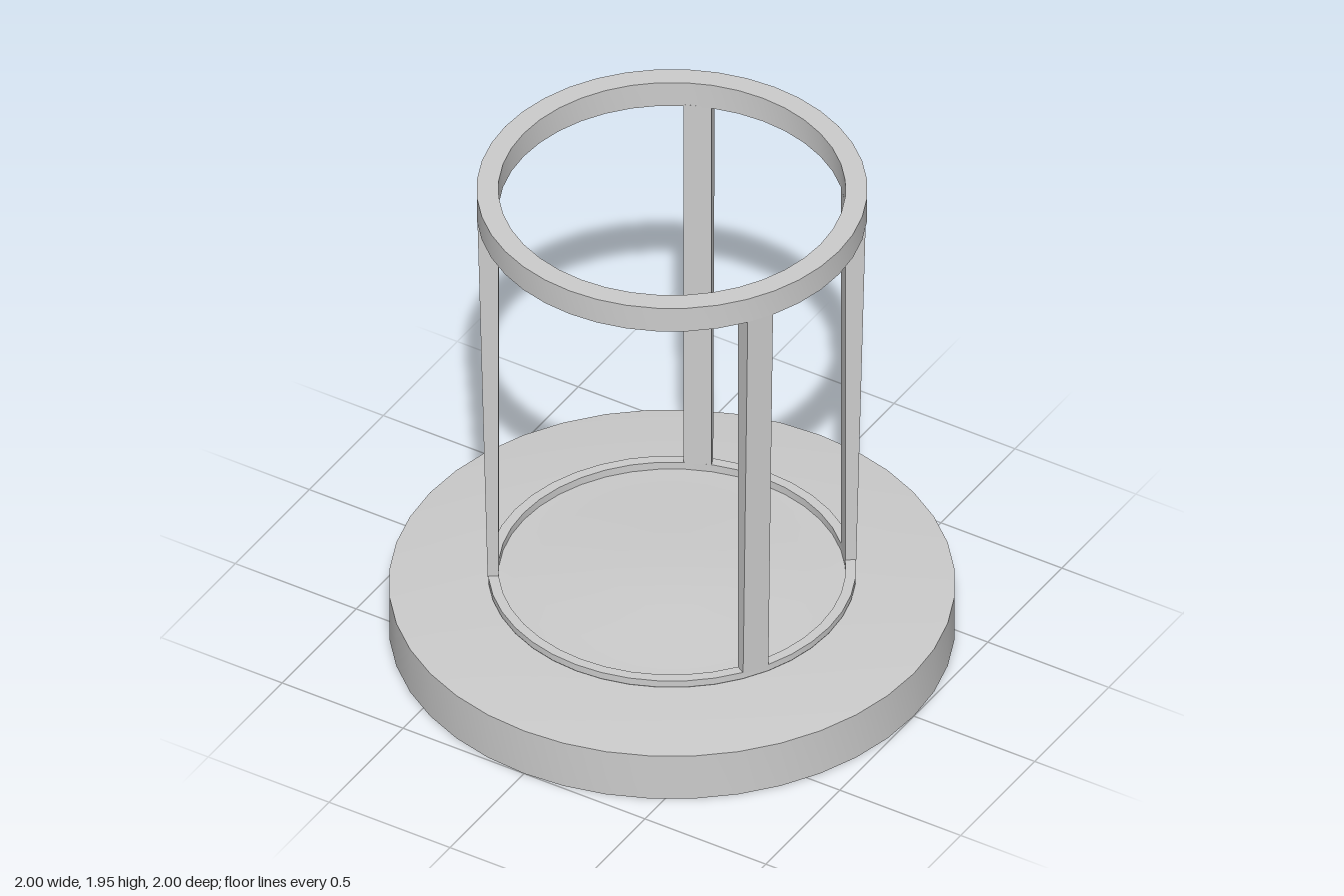
import * as THREE from 'three';
import { toCreasedNormals } from 'three/addons/utils/BufferGeometryUtils.js';

const material = new THREE.MeshStandardMaterial({ color: 0xcccccc });

// Revolved solid from [radius, height] pairs, with sharp corners kept
function lathe(name, profile, segments) {
  const points = profile.map(([r, y]) => new THREE.Vector2(r, y));
  const geometry = toCreasedNormals(new THREE.LatheGeometry(points, segments), 0.18);
  const mesh = new THREE.Mesh(geometry, material);
  mesh.name = name;
  return mesh;
}

// Post with a vertical inner face and an outer face that leans outward
function post(name, degrees) {
  const bottom = 0.25, top = 1.85, inner = 0.611;
  const geometry = new THREE.BoxGeometry(0.1, top - bottom, 1);
  geometry.translate(0, (top + bottom) / 2, 0);
  const p = geometry.attributes.position;
  for (let i = 0; i < p.count; i++) {
    const outer = p.getY(i) > 1 ? 0.686 : 0.65;
    p.setZ(i, p.getZ(i) > 0 ? outer : inner);
  }
  geometry.computeVertexNormals();
  const mesh = new THREE.Mesh(geometry, material);
  mesh.rotation.y = Math.PI / 2 - THREE.MathUtils.degToRad(degrees);
  mesh.name = name;
  return mesh;
}

export function createModel() {
  const model = new THREE.Group();
  model.name = 'stand';

  // Base: sloping underside with a domed recess, straight rim, sloping top, domed floor
  model.add(lathe('base', [
    [0, 0.105], [0.22, 0.096], [0.42, 0.072], [0.61, 0.032], [1, 0],
    [1, 0.19], [0.64, 0.224], [0.6, 0.224],
    [0.48, 0.231], [0.22, 0.249], [0, 0.253],
  ], 40));

  // Low ring around the floor
  model.add(lathe('lowerRing', [
    [0.613, 0.215], [0.64, 0.215], [0.65, 0.23], [0.65, 0.255], [0.613, 0.255], [0.613, 0.215],
  ], 40));

  // Upper ring carried by the posts
  model.add(lathe('upperRing', [
    [0.613, 1.845], [0.69, 1.845], [0.69, 1.948], [0.613, 1.948], [0.613, 1.845],
  ], 40));

  // Four unevenly spaced posts, angles measured from +x towards +z
  const posts = { frontLeftPost: 31.5, frontRightPost: 149, backRightPost: 247, backLeftPost: -40.5 };
  for (const [name, degrees] of Object.entries(posts)) model.add(post(name, degrees));

  return model;
}
